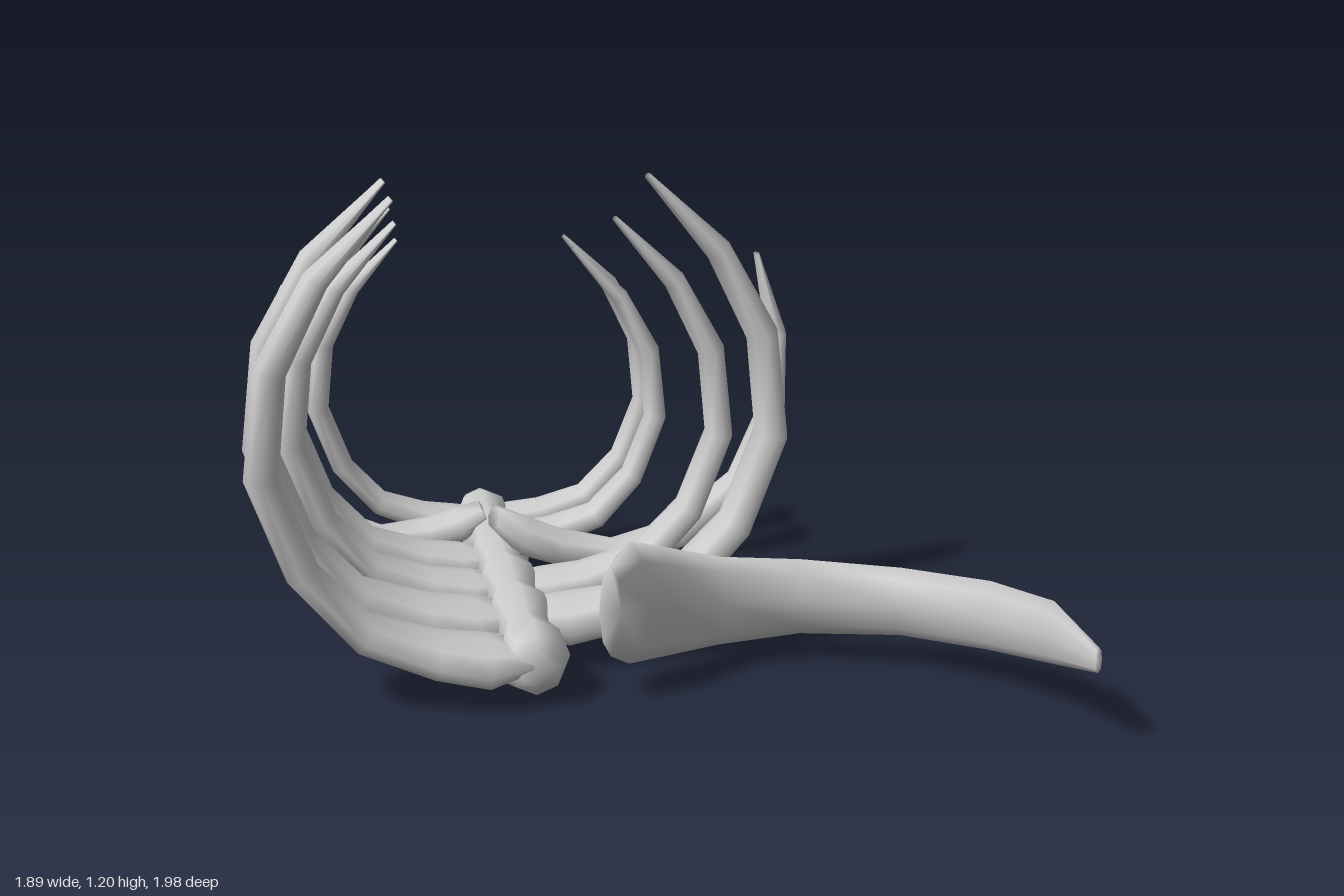
import * as THREE from 'three';

const material = new THREE.MeshStandardMaterial({ color: 0xcccccc });
const SIDES = 8;

// Skin a list of rings (arrays of Vector3) with smooth normals and closed ends.
// Each ring must run counter-clockwise when seen from the far end of the path.
function loft(rings) {
  const pos = [], idx = [];
  rings.forEach(r => r.forEach(p => pos.push(p.x, p.y, p.z)));
  for (let i = 0; i < rings.length - 1; i++) {
    for (let j = 0; j < SIDES; j++) {
      const a = i * SIDES + j, b = i * SIDES + (j + 1) % SIDES;
      idx.push(a, b, b + SIDES, a, b + SIDES, a + SIDES);
    }
  }
  const last = (rings.length - 1) * SIDES;
  for (let j = 1; j < SIDES - 1; j++) {
    idx.push(0, j + 1, j);
    idx.push(last, last + j, last + j + 1);
  }
  const g = new THREE.BufferGeometry();
  g.setAttribute('position', new THREE.Float32BufferAttribute(pos, 3));
  g.setIndex(idx);
  g.computeVertexNormals();
  return g;
}

// Rib stations, measured from the root: x, y, half thickness, half width, bend
const ribStations = [
  [-0.02, 0.01, 0.03, 0.11, 0],
  [0.08, 0.0, 0.055, 0.152, 0.005],
  [0.20, 0.02, 0.05, 0.138, 0.03],
  [0.37, 0.08, 0.045, 0.112, 0.06],
  [0.51, 0.23, 0.042, 0.095, 0.06],
  [0.60, 0.46, 0.042, 0.086, 0.06],
  [0.575, 0.71, 0.04, 0.086, 0.05],
  [0.465, 0.92, 0.032, 0.076, 0.03],
  [0.29, 1.105, 0.008, 0.03, 0.02],
];

// Flat, tapering rib that curves outward along +x and up
function ribGeometry(scale, bend = 0) {
  const n = ribStations.length;
  const rings = ribStations.map(([x, y, thick, wide, off], i) => {
    const a = ribStations[Math.max(i - 1, 0)], b = ribStations[Math.min(i + 1, n - 1)];
    const t = new THREE.Vector2(b[0] - a[0], b[1] - a[1]).normalize();
    return Array.from({ length: SIDES }, (_, j) => {
      const ang = j / SIDES * Math.PI * 2;
      const u = Math.cos(ang) * thick, w = Math.sin(ang) * wide;
      return new THREE.Vector3(x - t.y * u, y + t.x * u, w + off * bend).multiplyScalar(scale);
    });
  });
  return loft(rings);
}

export function createModel() {
  const model = new THREE.Group();
  const spineX = -0.27, spineY = 0.095;

  function addRib(name, scale, position, { left = false, tilt = 0, lay = 0, bend = 0 } = {}) {
    const rib = new THREE.Mesh(ribGeometry(scale, bend), material);
    rib.name = name;
    rib.position.set(...position);
    rib.rotation.set(lay, left ? 0 : Math.PI, tilt, 'YXZ');
    model.add(rib);
  }

  // Backbone: swells at each vertebra and narrows between them
  const vertebrae = [0.45, 0.13, -0.15, -0.42, -0.66, -0.88];
  const stations = [[0.55, 0.045], [0.52, 0.07]];
  vertebrae.forEach((z, i) => {
    stations.push([z, 0.088 - i * 0.002]);
    if (i < 5) stations.push([(z + vertebrae[i + 1]) / 2, 0.06]);
  });
  stations.push([-0.99, 0.055]);
  const spine = new THREE.Mesh(loft(stations.reverse().map(([z, r]) =>
    Array.from({ length: SIDES }, (_, j) => {
      const a = j / SIDES * Math.PI * 2;
      return new THREE.Vector3(spineX + Math.cos(a) * r, spineY + Math.sin(a) * r * 1.05, z);
    }))), material);
  spine.name = 'spine';
  model.add(spine);

  // Standing rib pairs; three ribs have come loose and are placed separately
  const scales = [1, 1, 0.87, 0.87, 0.73, 0.73];
  vertebrae.forEach((z, i) => {
    const s = scales[i], dx = 0.03 * s, y = spineY - 0.005;
    if (i !== 4) addRib('rightRib' + (i + 1), s, [spineX - dx, y, z]);
    if (i !== 0 && i !== 3) addRib('leftRib' + (i + 1), s, [spineX + dx, y, z], { left: true });
  });

  // Ribs leaning outward
  addRib('leaningLeftRib', 0.87, [-0.27, 0.2, -0.41], { left: true, tilt: -0.515 });
  addRib('leaningRightRib', 0.73, [-0.3, 0.16, -0.66], { tilt: -0.42 });

  // Fallen rib lying on its side
  addRib('fallenRib', 1, [-0.09, 0.22, 0.5],
    { left: true, tilt: -0.873, lay: Math.PI / 2, bend: 1 });

  return model;
}
